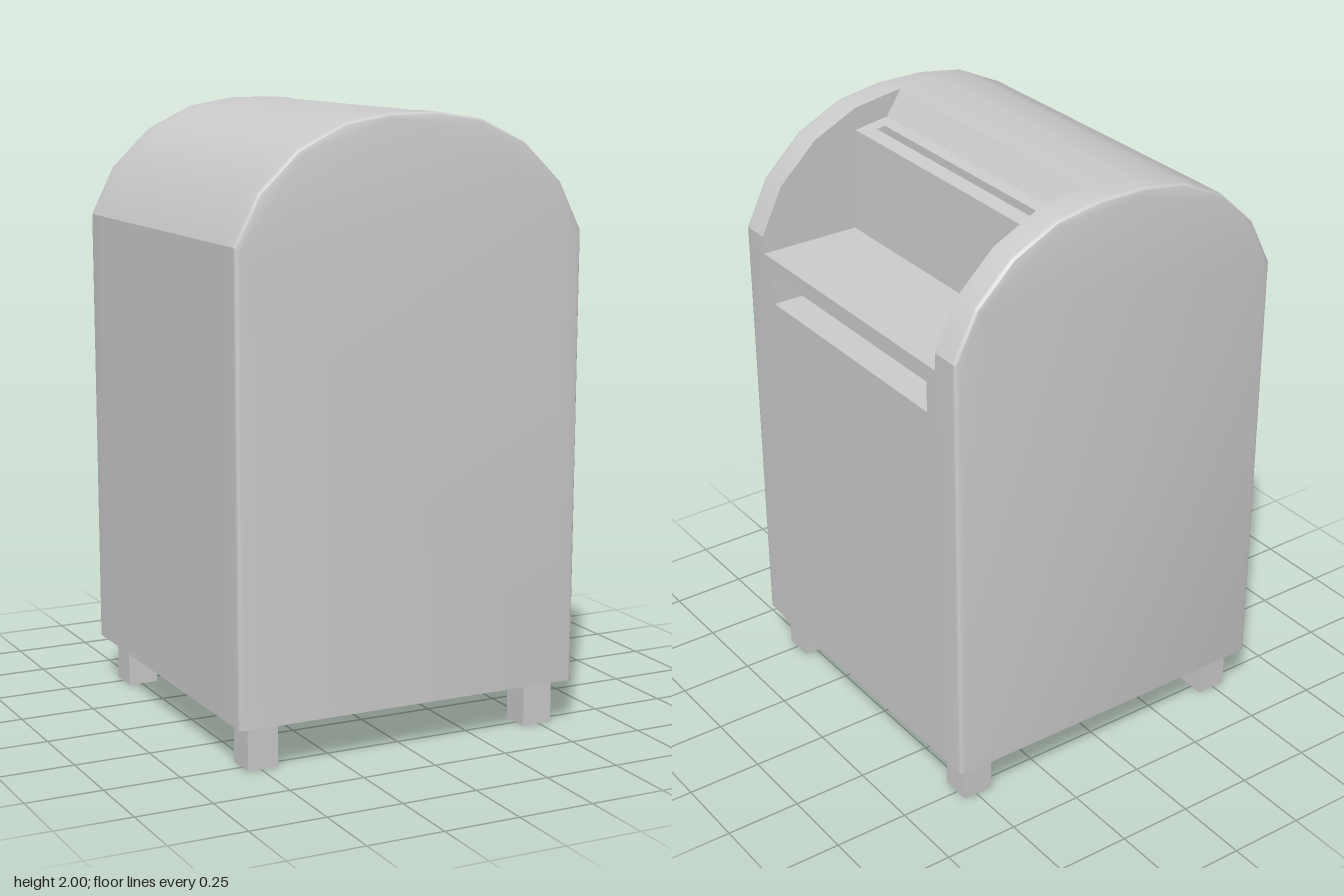
import * as THREE from 'three';
import { mergeGeometries, toCreasedNormals } from 'three/addons/utils/BufferGeometryUtils.js';

const BASE = 0.15, RIM = 0.018, END = 0.595;

// Cross-sections in x/y, counter-clockwise
const leftSide = [[0.08, 2], [-0.08, 2], [-0.235, 1.975], [-0.39, 1.9], [-0.52, 1.775], [-0.597, 1.62], [-0.592, BASE]];
const fullProfile = [[0.592, BASE], [0.597, 1.62], [0.52, 1.775], [0.39, 1.9], [0.235, 1.975], ...leftSide];
const shelf = [[0.595, 1.56], [0.25, 1.56], [0.235, 1.9]];
const ledgeBack = [[0.115, 1.918], [0.06, 2], ...leftSide.slice(1)];
const hoodProfile = [[0.592, BASE], ...shelf, ...ledgeBack];
const pocketProfile = [
  [0.592, BASE], [0.594, 1.4], [0.49, 1.4], [0.49, 1.51], [0.595, 1.51], // front pocket
  ...shelf,
  [0.185, 1.907], [0.185, 1.87], [0.155, 1.87], [0.155, 1.912],          // letter slot
  ...ledgeBack,
];

// Extrude a cross-section from z0 to z1
function slab(points, z0, z1, steps = 1) {
  const shape = new THREE.Shape(points.map(([x, y]) => new THREE.Vector2(x, y)));
  const geo = new THREE.ExtrudeGeometry(shape, { depth: z1 - z0, steps, bevelEnabled: false });
  return geo.translate(0, 0, z0);
}

// Rounded outer rim: shrink the section along a quarter circle
function rim(sign) {
  const inner = END - RIM;
  const geo = sign > 0 ? slab(fullProfile, inner, END, 4) : slab(fullProfile, -END, -inner, 4);
  const p = geo.attributes.position;
  for (let i = 0; i < p.count; i++) {
    const t = Math.min(1, Math.max(0, (Math.abs(p.getZ(i)) - inner) / RIM));
    const inset = RIM * (1 - Math.sqrt(1 - t * t));
    p.setX(i, p.getX(i) * (1 - inset / 0.6));
    p.setY(i, BASE + (p.getY(i) - BASE) * (1 - inset / 1.85));
  }
  return geo;
}

export function createModel() {
  const group = new THREE.Group();
  const material = new THREE.MeshStandardMaterial({ color: 0xcccccc });

  // Body: full end walls, stepped hood between them, slot and pocket in the middle
  const hood = 0.49, slot = 0.44, wall = END - RIM;
  const parts = [
    rim(-1),
    slab(fullProfile, -wall, -hood),
    slab(hoodProfile, -hood, -slot),
    slab(pocketProfile, -slot, slot),
    slab(hoodProfile, slot, hood),
    slab(fullProfile, hood, wall),
    rim(1),
  ];
  const body = new THREE.Mesh(toCreasedNormals(mergeGeometries(parts), 0.42), material);
  body.name = 'mailboxBody';
  group.add(body);

  // Four square legs
  const legGeo = new THREE.BoxGeometry(0.103, BASE, 0.103);
  for (const sx of [-1, 1]) {
    for (const sz of [-1, 1]) {
      const leg = new THREE.Mesh(legGeo, material);
      leg.name = (sz > 0 ? 'front' : 'back') + (sx > 0 ? 'Left' : 'Right') + 'Leg';
      leg.position.set(sx * 0.493, BASE / 2, sz * 0.493);
      group.add(leg);
    }
  }
  return group;
}
